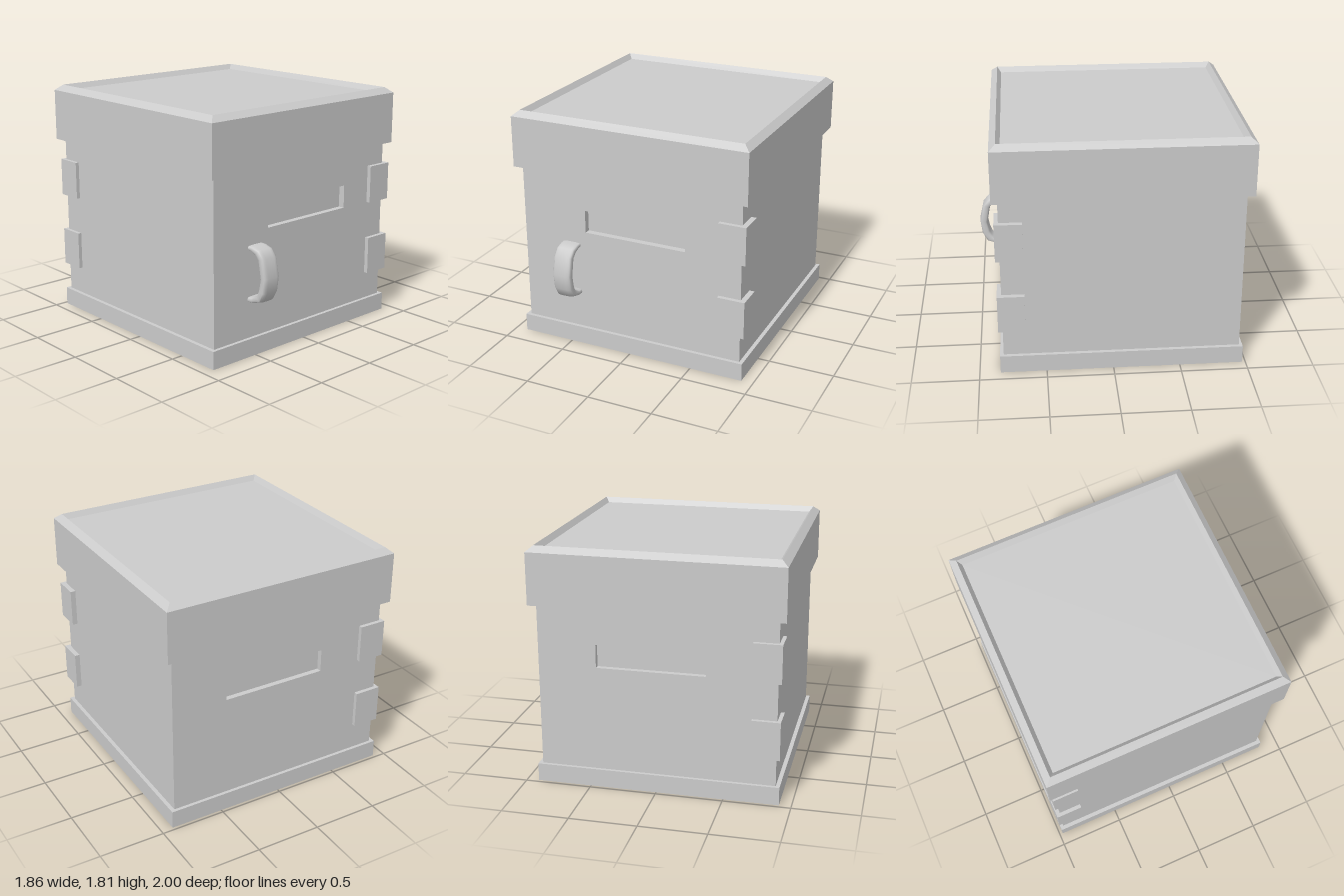
import * as THREE from 'three';

const material = new THREE.MeshStandardMaterial({ color: 0xcccccc });
const CZ = -0.066; // depth centre of the crate

function add(group, name, geometry) {
  const mesh = new THREE.Mesh(geometry, material);
  mesh.name = name;
  group.add(mesh);
  return mesh;
}

// Box given by its limits on each axis
function box(group, name, [x0, x1], [y0, y1], [z0, z1]) {
  const mesh = add(group, name, new THREE.BoxGeometry(x1 - x0, y1 - y0, z1 - z0));
  mesh.position.set((x0 + x1) / 2, (y0 + y1) / 2, (z0 + z1) / 2);
}

// Wall with a rectangular slot cut through it
function slottedPanel(group, name, z0, z1) {
  const rect = (Type, x0, x1, y0, y1) => new Type([
    [x0, y0], [x1, y0], [x1, y1], [x0, y1],
  ].map(([x, y]) => new THREE.Vector2(x, y)));
  const shape = rect(THREE.Shape, -0.88, 0.88, 0.1, 1.4);
  shape.holes.push(rect(THREE.Path, -0.363, 0.445, 0.93, 1.105));
  const geometry = new THREE.ExtrudeGeometry(shape, { depth: z1 - z0, bevelEnabled: false });
  add(group, name, geometry).position.z = z0;
}

// Square lid with a chamfered rim around a sunken top
function lidGeometry() {
  const profile = [[0, 1.38], [0.931, 1.38], [0.931, 1.77], [0.882, 1.812], [0.852, 1.772], [0, 1.772]]
    .map(([r, y]) => new THREE.Vector2(r * Math.SQRT2, y));
  const geometry = new THREE.LatheGeometry(profile, 4, Math.PI / 4).toNonIndexed();
  geometry.computeVertexNormals();
  return geometry;
}

// Curved strap lofted through rounded sections between outer and inner outlines
function handleGeometry() {
  const outer = [[0.79, 0.835], [0.86, 0.835], [0.92, 0.82], [0.968, 0.765], [1, 0.625], [0.985, 0.51], [0.945, 0.438], [0.86, 0.412], [0.79, 0.408]];
  const inner = [[0.79, 0.805], [0.84, 0.795], [0.885, 0.775], [0.912, 0.75], [0.937, 0.615], [0.92, 0.53], [0.9, 0.482], [0.85, 0.455], [0.79, 0.45]];
  const sides = 20;
  const positions = [];
  const index = [];
  const soften = (v) => Math.sign(v) * Math.abs(v) ** 0.55;
  outer.forEach(([zo, yo], i) => {
    const [zi, yi] = inner[i];
    for (let j = 0; j < sides; j++) {
      const a = (j / sides) * Math.PI * 2;
      const t = 0.5 + 0.5 * soften(Math.sin(a));
      positions.push(0.074 * soften(Math.cos(a)), yi + (yo - yi) * t, zi + (zo - zi) * t);
      if (i === outer.length - 1) continue;
      const p = i * sides + j;
      const q = i * sides + (j + 1) % sides;
      index.push(p, q, p + sides, q, q + sides, p + sides);
    }
  });
  const geometry = new THREE.BufferGeometry();
  geometry.setAttribute('position', new THREE.Float32BufferAttribute(positions, 3));
  geometry.setIndex(index);
  geometry.computeVertexNormals();
  return geometry;
}

export function createModel() {
  const model = new THREE.Group();
  model.name = 'crate';

  // Plinth and body
  box(model, 'base', [-0.91, 0.91], [0, 0.137], [-0.975, 0.845]);
  box(model, 'bodyCore', [-0.88, 0.88], [0.1, 1.4], [-0.91, 0.77]);
  slottedPanel(model, 'frontPanel', 0.77, 0.818);
  slottedPanel(model, 'backPanel', -0.95, -0.91);

  // Lid
  add(model, 'lid', lidGeometry()).position.z = CZ - 0.002;

  // Corner blocks on two opposite corners
  for (const y of [[0.35, 0.64], [0.927, 1.217]]) {
    box(model, 'frontCornerBlock', [0.71, 0.92], y, [0.65, 0.85]);
    box(model, 'backCornerBlock', [-0.908, -0.698], y, [-0.98, -0.78]);
  }

  // Door handle
  add(model, 'handle', handleGeometry()).position.x = -0.485;

  return model;
}
